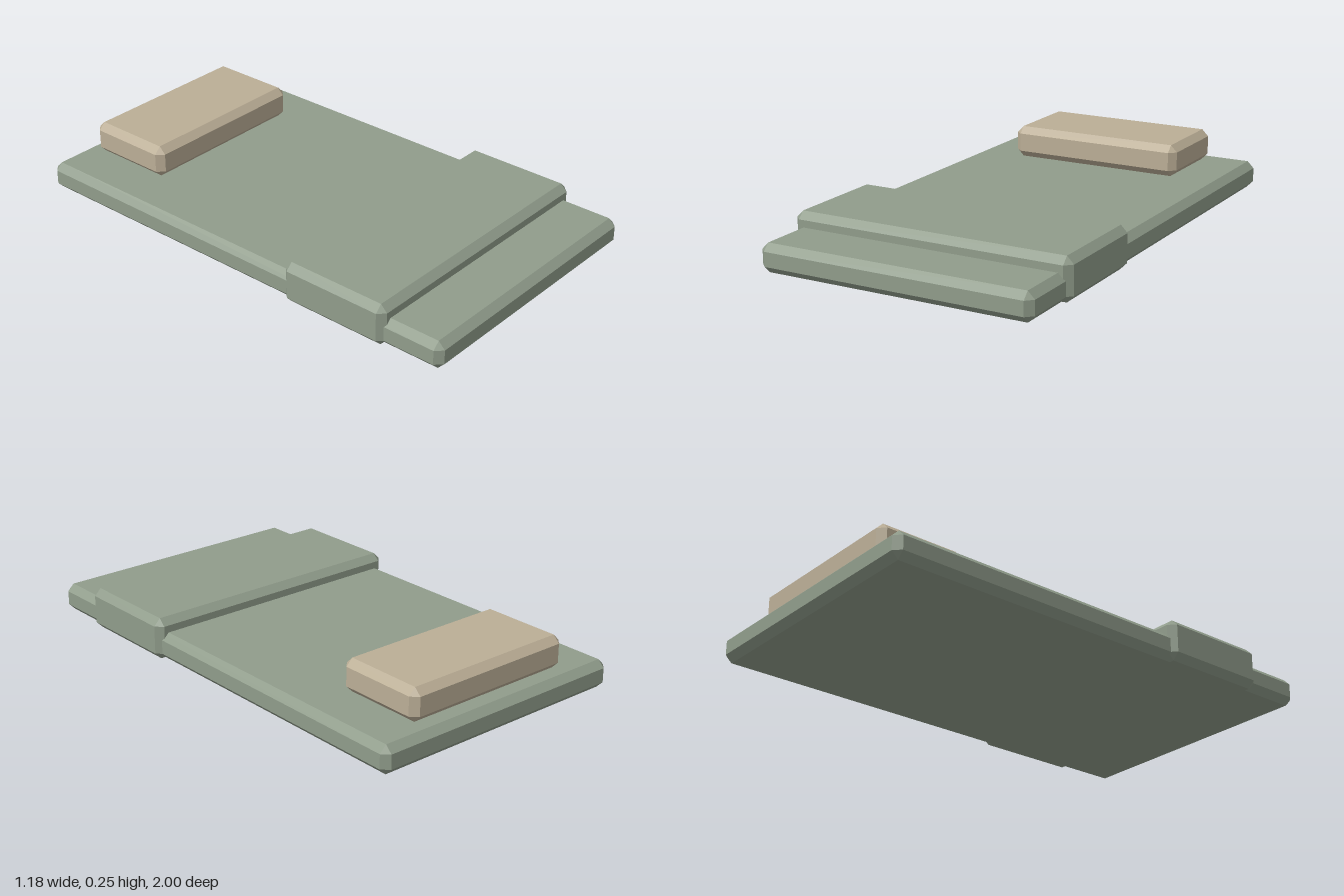
import * as THREE from 'three';
import { ConvexGeometry } from 'three/addons/geometries/ConvexGeometry.js';

// Box with all edges chamfered by c and small triangular corners
function chamferBox(w, h, d, c) {
  const half = [w / 2, h / 2, d / 2];
  const points = [];
  for (const sx of [-1, 1]) for (const sy of [-1, 1]) for (const sz of [-1, 1]) {
    for (let face = 0; face < 3; face++) {
      const p = half.map((v, i) => (i === face ? v : v - c));
      points.push(new THREE.Vector3(sx * p[0], sy * p[1], sz * p[2]));
    }
  }
  return new ConvexGeometry(points);
}

export function createModel() {
  const group = new THREE.Group();
  group.name = 'bedroll';

  const green = new THREE.MeshStandardMaterial({ name: 'sage green', color: 0x909c8b, flatShading: true });
  const beige = new THREE.MeshStandardMaterial({ name: 'pillow beige', color: 0xbbae96, flatShading: true });

  // Adds a chamfered block from its width and its y and z ranges
  const addBlock = (name, width, [y0, y1], [z0, z1], material) => {
    const mesh = new THREE.Mesh(chamferBox(width, y1 - y0, z1 - z0, 0.028), material);
    mesh.name = name;
    mesh.position.set(0, (y0 + y1) / 2, (z0 + z1) / 2);
    group.add(mesh);
  };

  addBlock('mat', 1.14, [0, 0.114], [-1, 1], green);
  addBlock('foldedBlanket', 1.18, [0, 0.171], [0.285, 0.76], green);
  addBlock('pillow', 0.76, [0.114, 0.247], [-0.937, -0.555], beige);

  return group;
}
